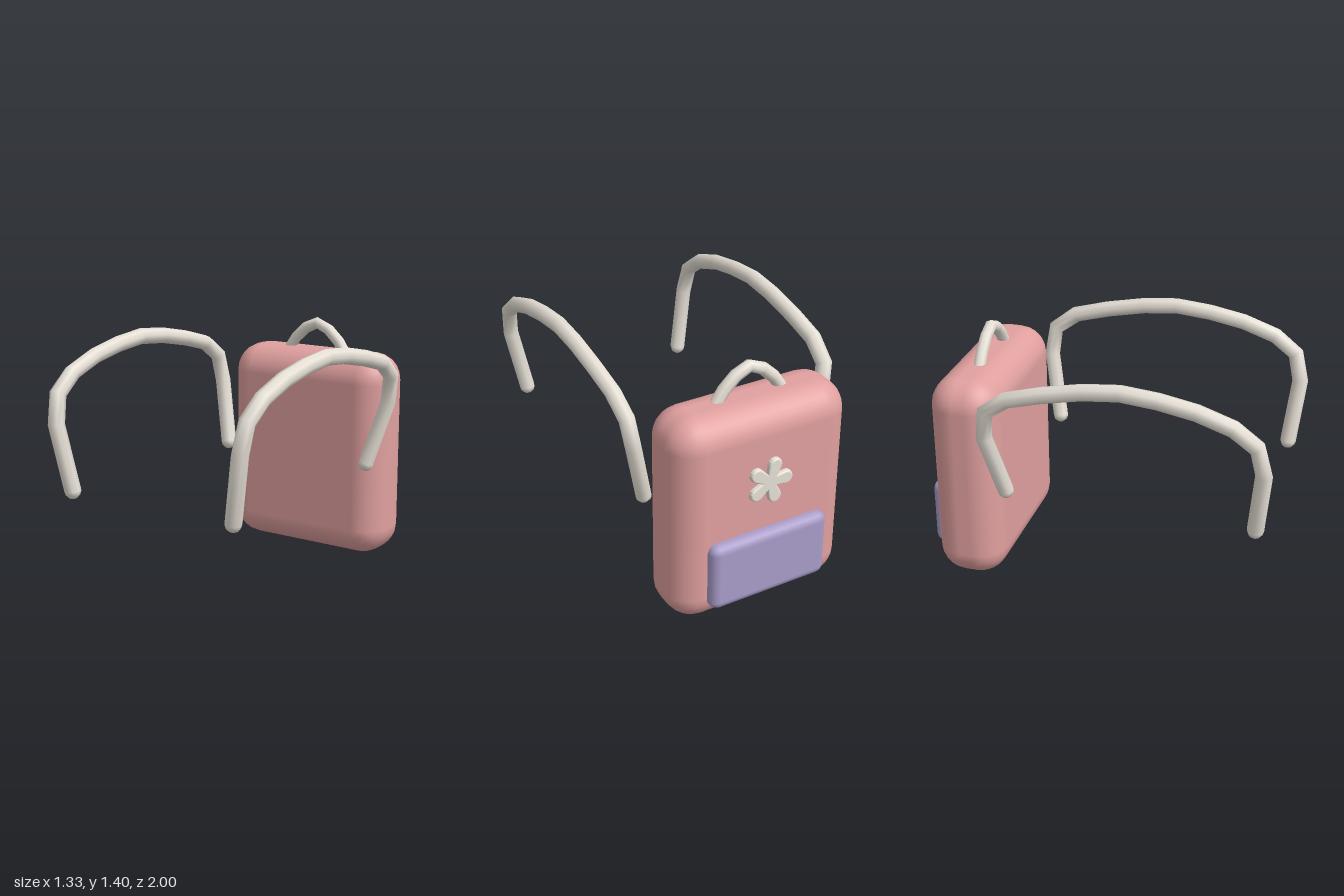
import * as THREE from 'three';
import { RoundedBoxGeometry } from 'three/addons/geometries/RoundedBoxGeometry.js';

const mat = (color) => new THREE.MeshStandardMaterial({ color });
const rose = mat(0xe0a09f);
const lavender = mat(0xa99cc9);
const cream = mat(0xe6e0d6);

// Curve sampled by its control points, so tube rings land on them
class PointCurve extends THREE.CatmullRomCurve3 {
  getPointAt(u, target) { return this.getPoint(u, target); }
  getTangentAt(u, target) { return this.getTangent(u, target); }
}

function part(name, geometry, material, x = 0, y = 0, z = 0) {
  const mesh = new THREE.Mesh(geometry, material);
  mesh.name = name;
  mesh.position.set(x, y, z);
  return mesh;
}

// Round cord through the points, with domed ends
function cord(name, points, radius) {
  const group = new THREE.Group();
  group.name = name;
  const path = points.map((p) => new THREE.Vector3(...p));
  const tube = new THREE.TubeGeometry(new PointCurve(path), path.length - 1, radius, 8);
  group.add(part(name + 'Cord', tube, cream));
  for (const end of [path[0], path[path.length - 1]]) {
    group.add(part(name + 'End', new THREE.SphereGeometry(radius, 8, 6), cream, end.x, end.y, end.z));
  }
  return group;
}

// Five round petals joined at the middle
function flowerGeometry() {
  const outline = [];
  const petalRadius = 0.029;
  for (let i = 0; i < 5; i++) {
    const a = Math.PI / 5 + (i * 2 * Math.PI) / 5;
    const valley = a - Math.PI / 5;
    outline.push(new THREE.Vector2(0.036 * Math.cos(valley), 0.036 * Math.sin(valley)));
    for (let k = 0; k <= 8; k++) {
      const b = a + (k / 8 - 0.5) * Math.PI * 1.1;
      outline.push(new THREE.Vector2(
        0.098 * Math.cos(a) + petalRadius * Math.cos(b),
        0.098 * Math.sin(a) + petalRadius * Math.sin(b)));
    }
  }
  return new THREE.ExtrudeGeometry(new THREE.Shape(outline), {
    depth: 0.025, bevelEnabled: true, bevelThickness: 0.012, bevelSize: 0.01, bevelSegments: 3,
  });
}

export function createModel() {
  const model = new THREE.Group();
  model.name = 'backpack';

  // Bag and back pocket
  model.add(part('body', new RoundedBoxGeometry(1.06, 1.22, 0.4, 3, 0.165), rose, 0, 0.61, -0.74));
  model.add(part('pocket', new RoundedBoxGeometry(0.72, 0.4, 0.14, 2, 0.05), lavender, 0, 0.31, -0.93));

  // Flower badge on the back
  model.add(part('flower', flowerGeometry(), cream, 0, 0.8, -0.955));

  // Carrying handle on top
  model.add(cord('handle', [
    [-0.21, 1.18, -0.73], [-0.15, 1.27, -0.73], [-0.08, 1.335, -0.73], [0, 1.37, -0.73],
    [0.08, 1.335, -0.73], [0.15, 1.27, -0.73], [0.21, 1.18, -0.73],
  ], 0.035));

  // Shoulder straps, mirrored
  const strap = [
    [0.49, 0.615, -0.49], [0.585, 0.98, -0.565], [0.608, 1.14, -0.545], [0.618, 1.235, -0.42],
    [0.62, 1.29, -0.22], [0.62, 1.335, 0], [0.62, 1.355, 0.2], [0.62, 1.337, 0.4],
    [0.62, 1.3, 0.6], [0.618, 1.235, 0.79], [0.612, 1.14, 0.915], [0.597, 0.98, 0.953],
    [0.53, 0.615, 0.915],
  ];
  for (const [name, side] of [['leftStrap', 1], ['rightStrap', -1]]) {
    model.add(cord(name, strap.map(([x, y, z]) => [side * x, y, z]), 0.046));
  }
  return model;
}
